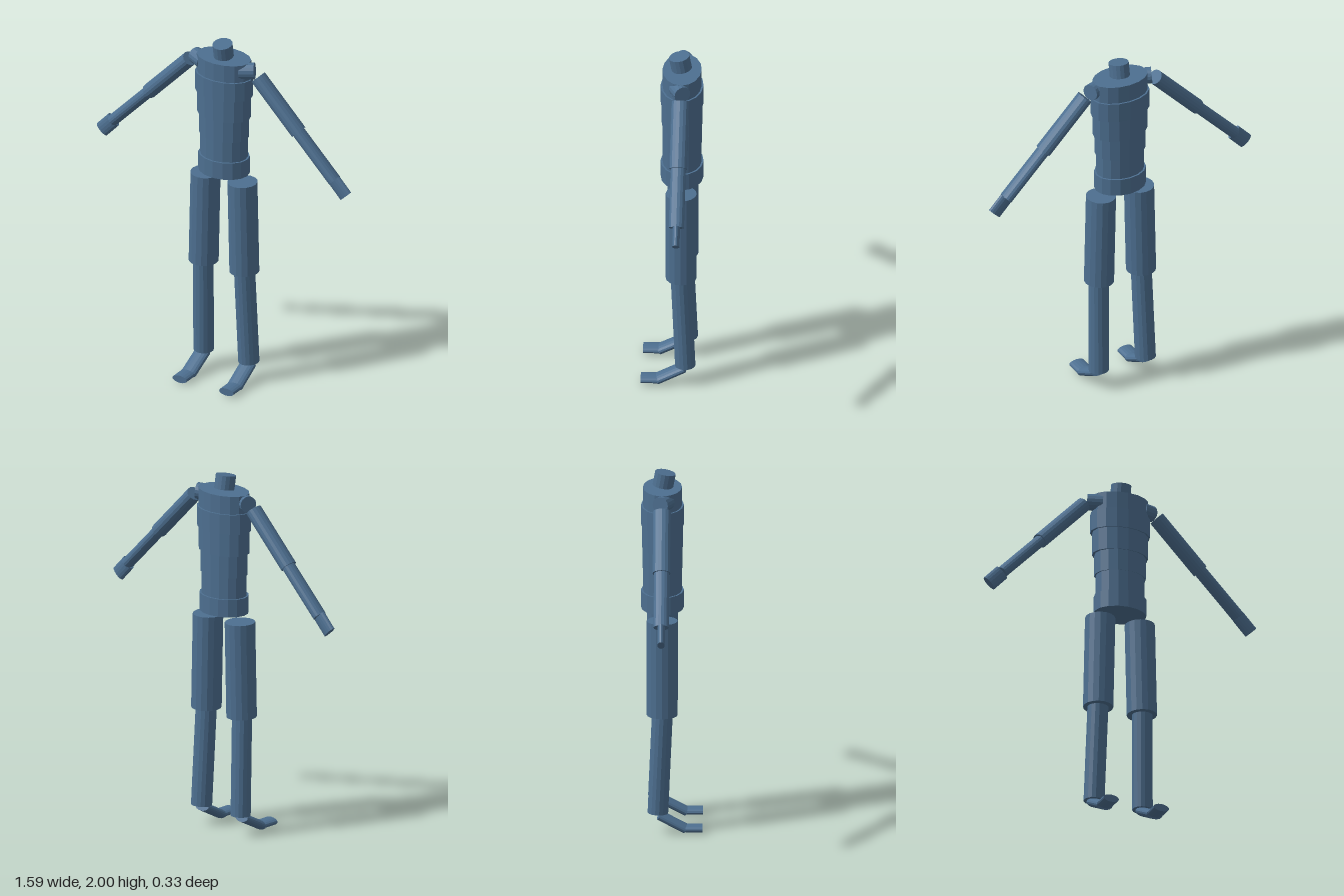
import * as THREE from 'three';

const Z = -0.05; // depth of the body's centre line

export function createModel() {
  const model = new THREE.Group();
  model.name = 'jointedFigure';
  const blue = new THREE.MeshStandardMaterial({ color: 0x4d6f90 });
  blue.name = 'slateBlue';
  blue.flatShading = true;

  // Elliptical capped cylinder from a to b; side is its half-width across x/y, depth its half-width in z
  function segment(name, a, b, side, depth, parent = model) {
    const start = new THREE.Vector3(...a);
    const end = new THREE.Vector3(...b);
    const axis = end.clone().sub(start);
    const geometry = new THREE.CylinderGeometry(1, 1, axis.length(), 16);
    geometry.scale(side, 1, depth);
    const mesh = new THREE.Mesh(geometry, blue);
    mesh.name = name;
    mesh.position.copy(start).add(end).multiplyScalar(0.5);
    mesh.quaternion.setFromUnitVectors(new THREE.Vector3(0, 1, 0), axis.normalize());
    parent.add(mesh);
  }

  // Torso bands: name, bottom, top, half-width, half-depth
  const bands = [
    ['hips', 1.232, 1.33, 0.146, 0.115],
    ['waist', 1.33, 1.45, 0.136, 0.105],
    ['belly', 1.45, 1.572, 0.144, 0.106],
    ['ribs', 1.572, 1.7, 0.157, 0.11],
    ['chest', 1.7, 1.81, 0.168, 0.115],
    ['upperChest', 1.81, 1.91, 0.159, 0.105],
  ];
  for (const [name, y0, y1, w, d] of bands) segment(name, [0, y0, Z], [0, y1, Z], w, d);

  // Neck leans forward
  segment('neck', [0, 1.915, -0.048], [0, 1.991, -0.034], 0.054, 0.056);

  // Mirrored limbs
  for (const [label, s] of [['left', 1], ['right', -1]]) {
    const arm = new THREE.Group();
    arm.name = label + 'Arm';
    segment('shoulder', [s * 0.11, 1.862, -0.025], [s * 0.187, 1.868, -0.06], 0.045, 0.045, arm);
    segment('upperArm', [s * 0.215, 1.842, Z], [s * 0.47, 1.58, Z], 0.041, 0.048, arm);
    segment('forearm', [s * 0.47, 1.58, Z], [s * 0.695, 1.35, Z], 0.032, 0.041, arm);
    segment('hand', [s * 0.693, 1.352, Z], [s * 0.767, 1.274, Z], 0.042, 0.02, arm);

    const leg = new THREE.Group();
    leg.name = label + 'Leg';
    segment('thigh', [s * 0.116, 1.192, Z], [s * 0.128, 0.664, Z], 0.081, 0.083, leg);
    segment('shin', [s * 0.13, 0.664, -0.049], [s * 0.142, 0.117, -0.073], 0.055, 0.057, leg);
    segment('foot', [s * 0.143, 0.104, -0.067], [s * 0.146, 0.028, 0.077], 0.046, 0.025, leg);
    segment('toes', [s * 0.147, 0.032, 0.075], [s * 0.147, 0.032, 0.165], 0.045, 0.021, leg);
    model.add(arm, leg);
  }
  return model;
}
